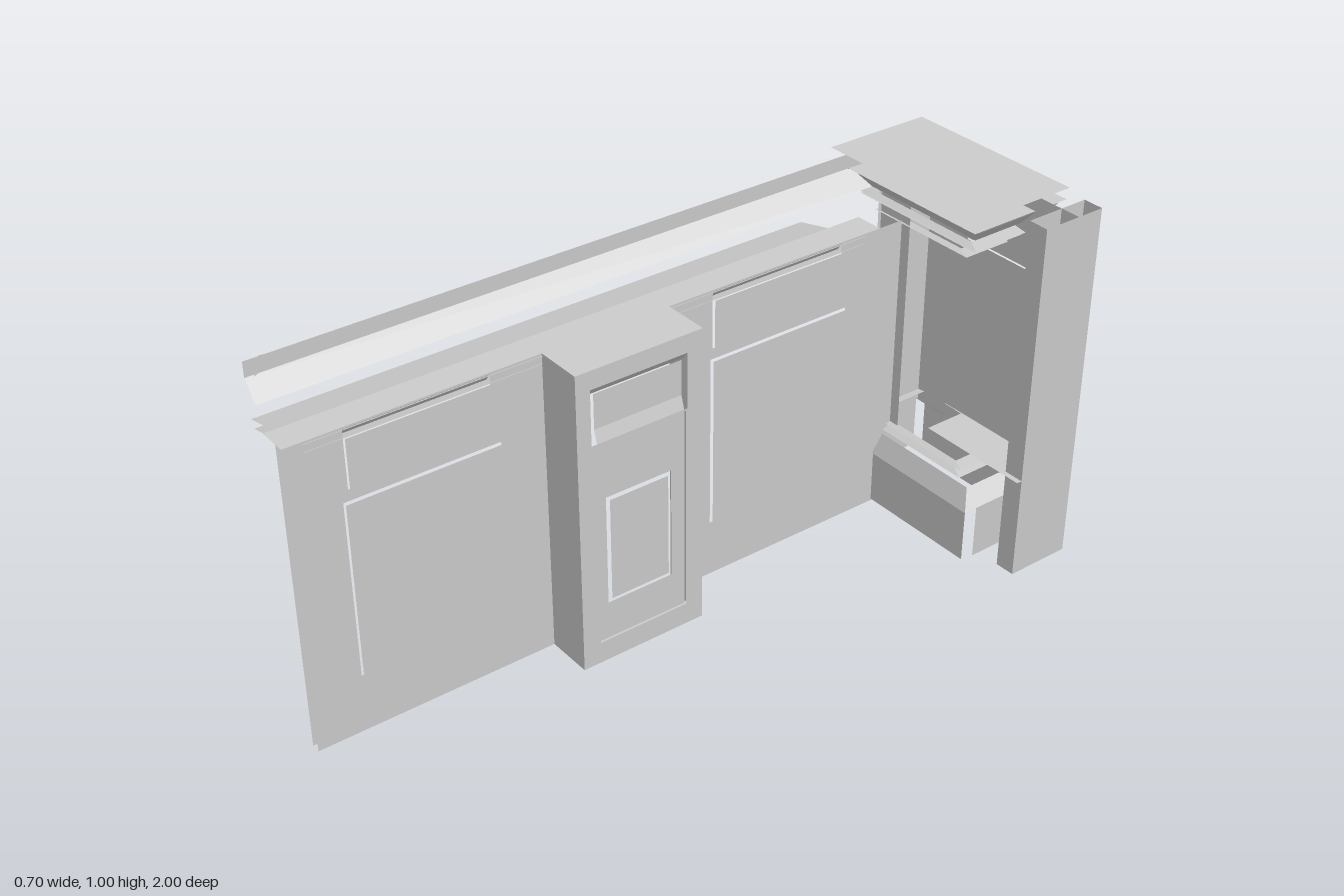
import * as THREE from 'three';

const material = new THREE.MeshStandardMaterial({ color: 0xcccccc, side: THREE.DoubleSide, flatShading: true });

export function createModel() {
  const model = new THREE.Group();

  const add = (parent, name, geometry) => {
    const mesh = new THREE.Mesh(geometry, material);
    mesh.name = name;
    parent.add(mesh);
  };
  const group = (name) => {
    const g = new THREE.Group();
    g.name = name;
    model.add(g);
    return g;
  };

  // Four-cornered thin sheet, corners counter-clockwise from outside
  const sheet = (parent, name, a, b, c, d) => {
    const g = new THREE.BufferGeometry();
    g.setAttribute('position', new THREE.Float32BufferAttribute([...a, ...b, ...c, ...d], 3));
    g.setIndex([0, 1, 2, 0, 2, 3]);
    g.computeVertexNormals();
    add(parent, name, g);
  };

  // Flat panel with rectangular holes; rectangles are [u0, u1, y0, y1]
  const outline = (Type, [u0, u1, y0, y1]) => {
    const s = new Type();
    s.moveTo(u0, y0).lineTo(u1, y0).lineTo(u1, y1).lineTo(u0, y1).closePath();
    return s;
  };
  const panelShape = (rect, holes) => {
    const s = outline(THREE.Shape, rect);
    s.holes = holes.map((h) => outline(THREE.Path, h));
    return new THREE.ShapeGeometry(s);
  };
  const flipZ = ([z0, z1, y0, y1]) => [-z1, -z0, y0, y1];
  const panelX = (parent, name, x, rect, holes = []) =>
    add(parent, name, panelShape(flipZ(rect), holes.map(flipZ)).rotateY(Math.PI / 2).translate(x, 0, 0));
  const panelZ = (parent, name, z, rect, holes = []) =>
    add(parent, name, panelShape(rect, holes).translate(0, 0, z));

  // Horizontal sheet
  const plate = (parent, name, y, x0, x1, z0, z1) =>
    sheet(parent, name, [x0, y, z1], [x1, y, z1], [x1, y, z0], [x0, y, z0]);

  // Open four-sided band between two rectangles [x0, x1, z0, z1]
  const band = (parent, name, yLow, low, yHigh, high) => {
    const ring = ([x0, x1, z0, z1], y) => [[x0, y, z1], [x1, y, z1], [x1, y, z0], [x0, y, z0]];
    const a = ring(low, yLow), b = ring(high, yHigh);
    for (let i = 0; i < 4; i++) {
      const j = (i + 1) % 4;
      sheet(parent, name, a[i], a[j], b[j], b[i]);
    }
  };

  // Wall with two large and two small panels
  const wall = group('wall');
  const wallX = -0.11;
  const bays = [
    { span: [0.34, 1, 0.02, 0.85], large: [0.46, 0.87, 0.18, 0.66], small: [0.48, 0.855, 0.69, 0.845] },
    { span: [-0.78, -0.02, 0.02, 0.85], large: [-0.575, -0.145, 0.18, 0.66], small: [-0.555, -0.15, 0.69, 0.845] },
  ];
  for (const { span, large, small } of bays) {
    const [z0, z1, y0] = small;
    panelX(wall, 'wallFrame', wallX, span, [large, small]);
    panelX(wall, 'largePanel', wallX + 0.012, large);
    panelX(wall, 'smallPanel', wallX + 0.01, [z0, z1, y0, 0.825]);
    sheet(wall, 'panelLip', [wallX - 0.015, 0.825, z1], [wallX - 0.015, 0.825, z0],
      [wallX, 0.845, z0], [wallX, 0.845, z1]);
    panelX(wall, 'backingStrip', wallX - 0.025, [large[0] - 0.03, large[1] + 0.03, 0.02, 0.05]);
  }
  panelX(wall, 'endStrip', wallX - 0.025, [0.965, 1, 0.02, 0.85]);
  plate(wall, 'wallLedge', 0.85, -0.19, wallX, -0.68, 1);

  // Sloping cover boards behind the wall
  for (const drop of [0, 0.02]) {
    sheet(wall, 'coverBoard', [-0.105, 0.845 - drop, 0.95], [-0.105, 0.845 - drop, -0.63],
      [-0.355 + drop / 2, 0.785 - drop, -0.63], [-0.355 + drop / 2, 0.785 - drop, 0.95]);
  }

  // Projecting hollow pilaster
  const pilaster = group('pilaster');
  const lower = [0.03, 0.29, 0.08, 0.645], upper = [0.025, 0.3, 0.65, 0.8];
  const inset = [0.07, 0.26, 0.185, 0.49];
  panelX(pilaster, 'pilasterFrame', 0.02, [-0.02, 0.34, 0.02, 0.85], [lower, upper]);
  panelX(pilaster, 'pilasterPanel', 0.014, lower, [inset]);
  panelX(pilaster, 'insetPanel', 0.016, [0.08, 0.25, 0.195, 0.48]);
  panelX(pilaster, 'upperPanel', 0.01, [0.035, 0.285, 0.685, 0.78]);
  sheet(pilaster, 'upperLip', [0.005, 0.78, 0.3], [0.005, 0.78, 0.025], [0.02, 0.8, 0.025], [0.02, 0.8, 0.3]);
  sheet(pilaster, 'upperSill', [0.02, 0.65, 0.285], [0.02, 0.65, 0.035], [0.01, 0.685, 0.035], [0.01, 0.685, 0.285]);
  for (const z of [-0.02, 0.34]) panelZ(pilaster, 'pilasterSide', z, [wallX, 0.02, 0.02, 0.85]);
  plate(pilaster, 'pilasterTop', 0.85, wallX, 0.02, -0.02, 0.34);
  plate(pilaster, 'pilasterBottom', 0.025, -0.06, 0.02, -0.02, 0.34);

  // Handrail: upright fascia over a slanted moulding
  const rail = group('rail');
  panelX(rail, 'railFascia', -0.248, [-0.8, 1, 0.96, 1]);
  sheet(rail, 'railMoulding', [-0.21, 0.91, -0.74], [-0.21, 0.91, 1], [-0.245, 0.96, 1], [-0.245, 0.96, -0.7]);
  sheet(rail, 'railEnd', [-0.27, 0.96, 0.93], [-0.24, 0.96, 0.98], [-0.25, 1, 0.96], [-0.252, 0.998, 0.95]);

  // Pier base with chamfered top
  const pier = group('pier');
  panelZ(pier, 'baseFront', -0.7, [-0.245, 0.245, 0.025, 0.175]);
  panelZ(pier, 'baseBack', -0.98, [-0.21, 0.25, 0.025, 0.175]);
  panelX(pier, 'baseSide', 0.25, [-0.97, -0.735, 0.025, 0.175]);
  panelX(pier, 'baseSide', -0.245, [-0.98, -0.68, 0.025, 0.175]);
  band(pier, 'baseChamfer', 0.175, [-0.245, 0.25, -0.98, -0.695], 0.222, [-0.21, 0.215, -0.945, -0.73]);

  // Pier shaft: recessed back panel beside a corner strip, outer side and front strip
  const backPanel = [-0.01, 0.21, 0.31, 0.8];
  panelZ(pier, 'shaftBack', -0.892, [-0.045, 0.35, 0.29, 1], [backPanel]);
  panelZ(pier, 'backPanel', -0.885, backPanel);
  panelZ(pier, 'backLowerPanel', -0.892, [-0.045, 0.35, 0.09, 0.287]);
  panelZ(pier, 'cornerStrip', -0.93, [-0.188, -0.045, 0.22, 0.91]);
  panelX(pier, 'shaftReturn', -0.045, [-0.93, -0.892, 0.22, 0.91]);
  panelX(pier, 'shaftSide', -0.188, [-0.93, -0.745, 0.22, 0.91]);
  panelZ(pier, 'shaftFront', -0.755, [-0.188, -0.08, 0.22, 0.91]);
  plate(pier, 'innerShelf', 0.29, 0.02, 0.35, -0.92, -0.77);

  // Thin moulding rings around the shaft
  const rings = [
    [0.236, 0.006, [-0.22, 0.185, -0.968, -0.73]],
    [0.25, 0.004, [-0.205, 0.18, -0.96, -0.74]],
    [0.845, 0.003, [-0.205, 0.13, -0.95, -0.75]],
    [0.88, 0.004, [-0.245, 0.17, -0.965, -0.735]],
    [0.892, 0.006, [-0.25, 0.185, -0.968, -0.725]],
  ];
  for (const [y, rise, r] of rings) {
    const [x0, x1, z0, z1] = r;
    band(pier, 'shaftMoulding', y, r, y + rise, [x0 + 0.04, x1 - 0.04, z0 + 0.03, z1 - 0.02]);
  }

  // Cornice and cap boards
  band(pier, 'cornice', 0.91, [-0.25, 0.165, -0.935, -0.74], 0.957, [-0.285, 0.21, -0.97, -0.7]);
  plate(pier, 'capUnderside', 0.96, -0.285, 0.21, -1, -0.69);
  plate(pier, 'capTop', 1, -0.305, 0.225, -0.99, -0.68);

  // Square end post, open at both ends
  const post = group('endPost');
  const section = [0.293, 0.35, -0.97, -0.785];
  band(post, 'postWall', 0, section, 1, section);

  return model;
}
